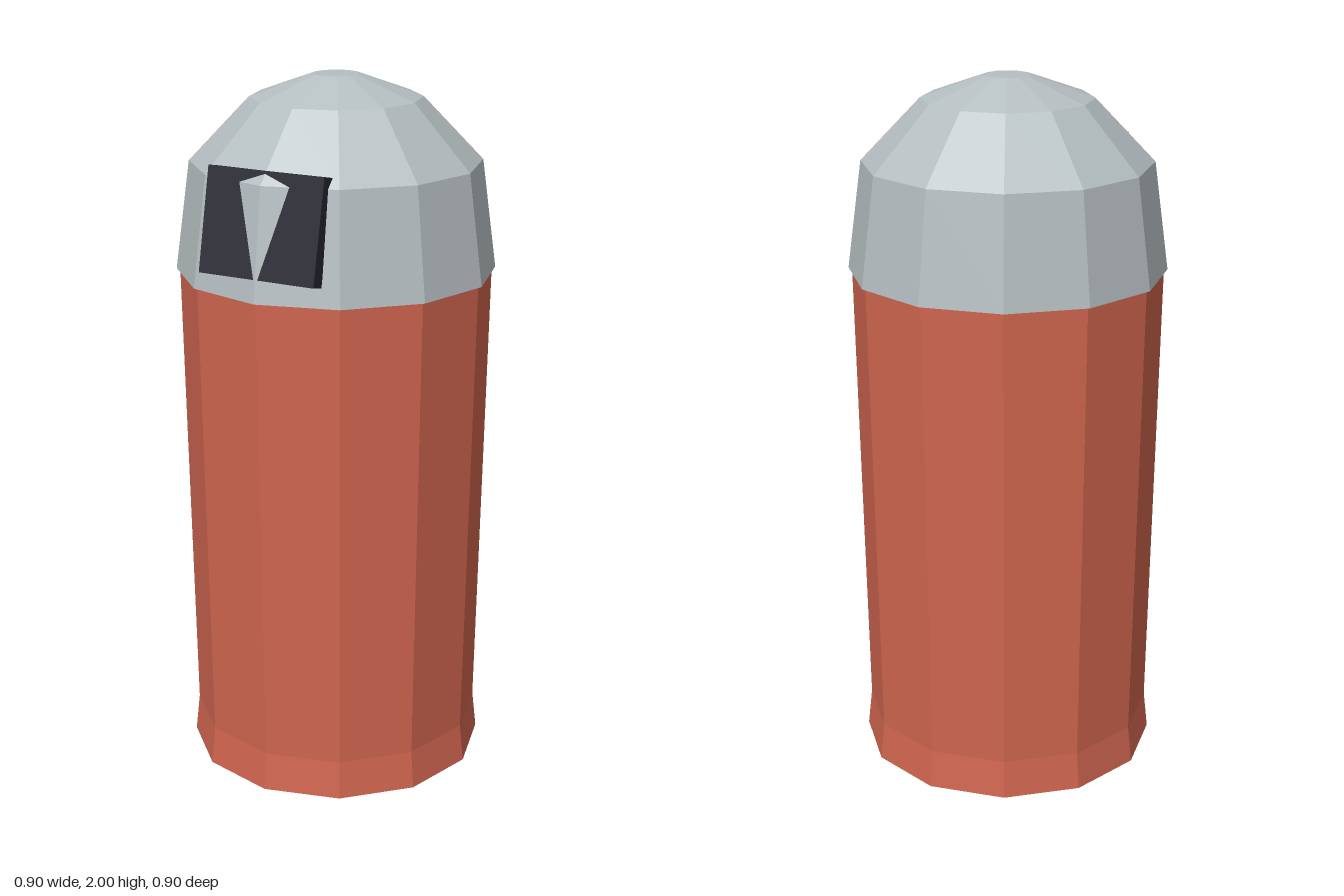
import * as THREE from 'three';

const SIDES = 12;

function material(name, color) {
  const m = new THREE.MeshStandardMaterial({ color, flatShading: true });
  m.name = name;
  return m;
}

// Twelve-sided turned shell from [radius, height] pairs, bottom to top
function turned(name, profile, mat) {
  const points = profile.map(([r, y]) => new THREE.Vector2(r, y));
  const mesh = new THREE.Mesh(new THREE.LatheGeometry(points, SIDES), mat);
  mesh.name = name;
  return mesh;
}

export function createModel() {
  const red = material('brick red', 0xd0654f);
  const grey = material('light grey', 0xb5bec1);
  const dark = material('dark navy', 0x252530);

  const group = new THREE.Group();
  group.name = 'domedCylinder';

  // Body with a closed base and slightly flared foot
  group.add(turned('body', [[0, 0], [0.43, 0], [0.418, 0.11], [0.44, 1.455]], red));

  // Faceted dome overhanging the body
  group.add(turned('dome', [
    [0, 1.455], [0.45, 1.455], [0.408, 1.762], [0.24, 1.937], [0.065, 2], [0, 2],
  ], grey));

  // Window block leaning back; the dome's front ridge pokes through it
  const visor = new THREE.Mesh(new THREE.BoxGeometry(0.35, 0.285, 0.043), dark);
  visor.name = 'window';
  visor.position.set(0, 1.653, 0.389);
  visor.rotation.x = -0.21;
  group.add(visor);

  return group;
}
